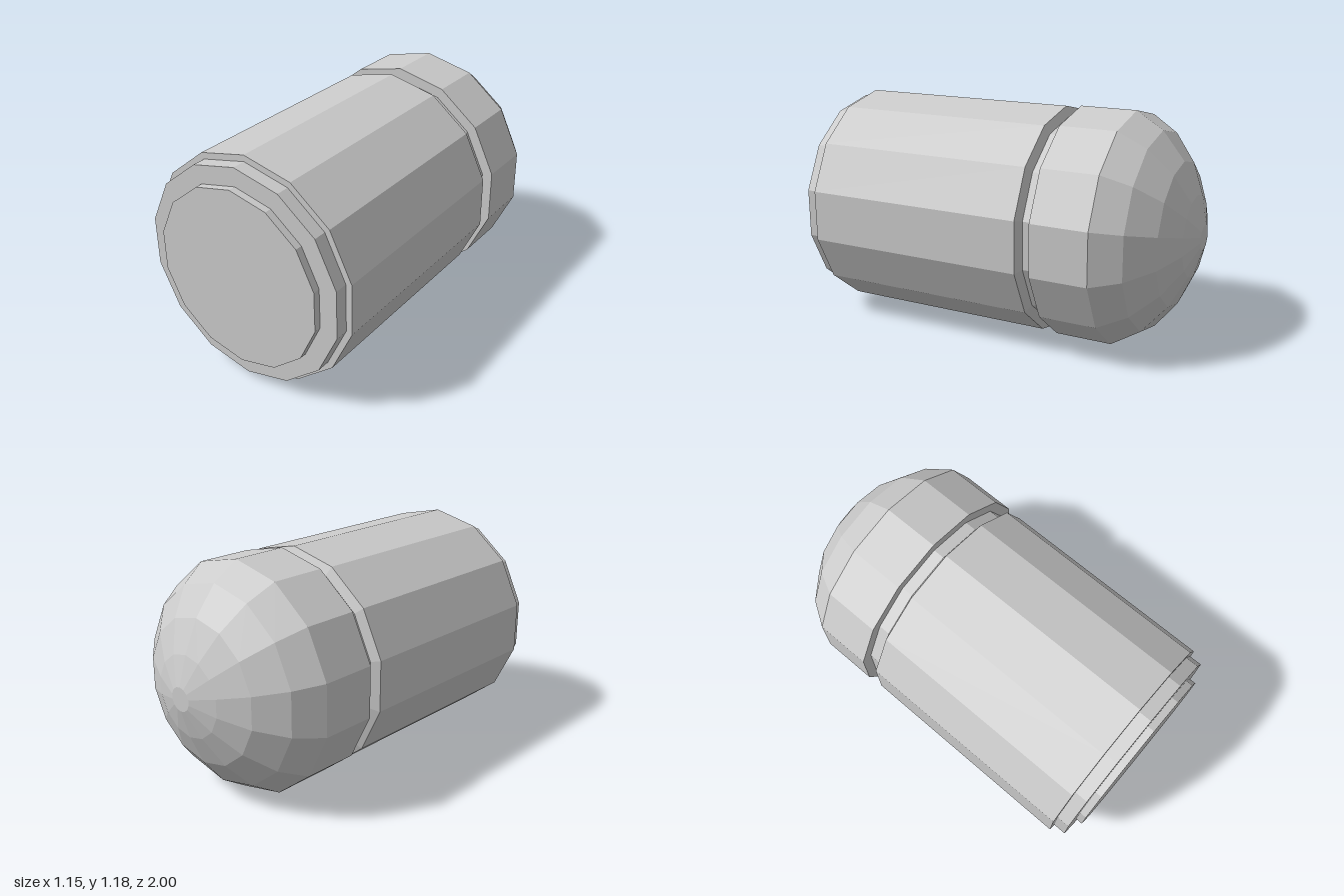
import * as THREE from 'three';

const SIDES = 14;
const AXIS_Y = 0.59;
const material = new THREE.MeshStandardMaterial({ color: 0xcccccc, flatShading: true });

// Faceted solid of revolution about the z axis; profile is [radius, z] from back to front.
function turned(name, profile) {
  const points = profile.map(([r, z]) => new THREE.Vector2(r, z));
  const geometry = new THREE.LatheGeometry(points, SIDES);
  geometry.rotateX(Math.PI / 2);
  const mesh = new THREE.Mesh(geometry, material);
  mesh.name = name;
  mesh.position.y = AXIS_Y;
  return mesh;
}

export function createModel() {
  const model = new THREE.Group();
  model.name = 'capsule';

  model.add(
    // Rounded cap with a small flat tip and a closed rim
    turned('domeCap', [
      [0, -1], [0.06, -1], [0.205, -0.957], [0.362, -0.885],
      [0.502, -0.773], [0.588, -0.637], [0.588, -0.345], [0.533, -0.345],
    ]),
    // Recessed neck between cap and body
    turned('neckGroove', [[0.533, -0.345], [0.533, -0.285]]),
    // Main barrel, bevelled at the neck
    turned('body', [[0.533, -0.285], [0.581, -0.265], [0.581, 0.895], [0.549, 0.895]]),
    // Two stepped discs closing the front end
    turned('outerStep', [[0.549, 0.895], [0.549, 0.963], [0.456, 0.963]]),
    turned('innerStep', [[0.456, 0.963], [0.456, 1], [0, 1]]),
  );
  return model;
}
